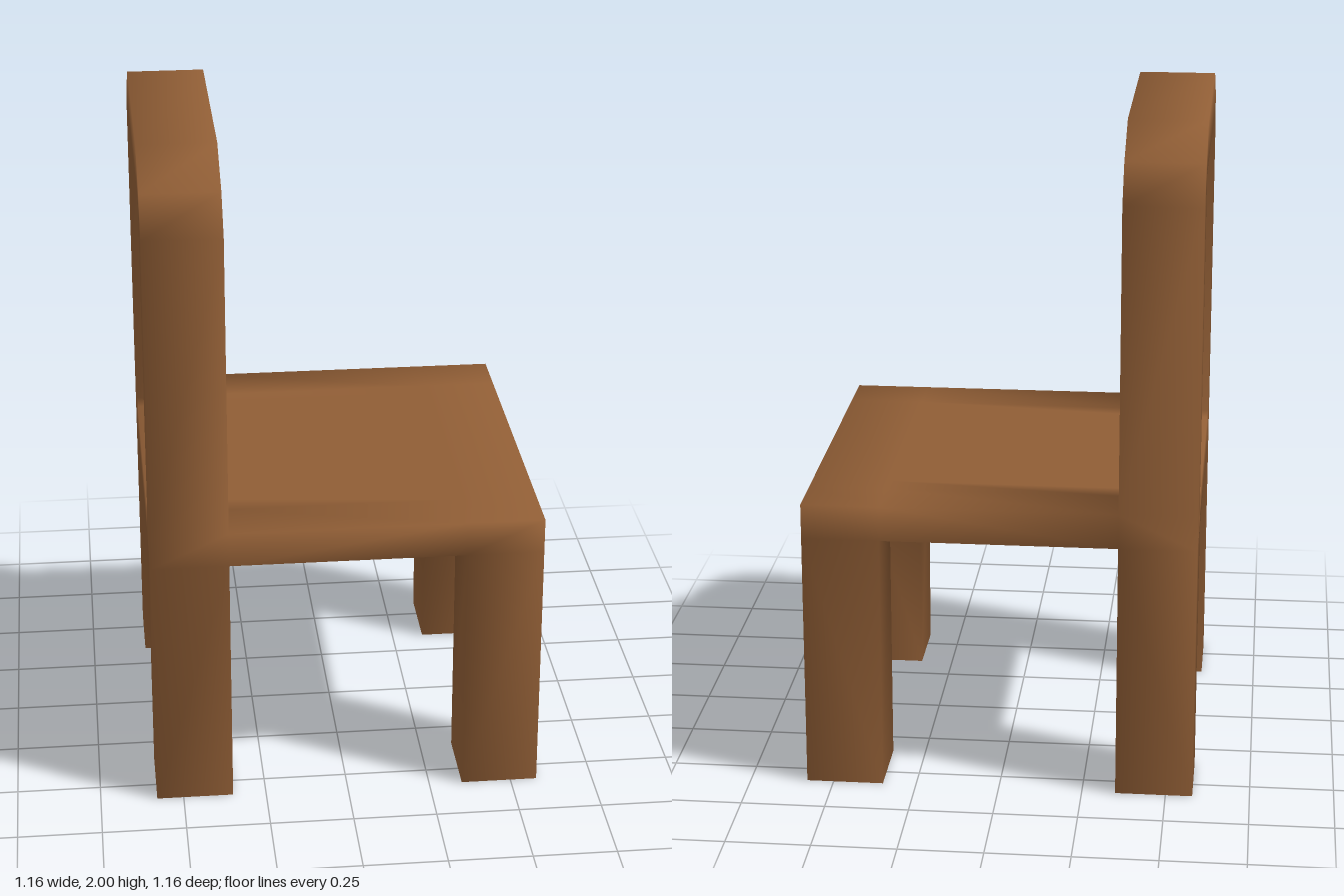
import * as THREE from 'three';

const H = 0.58, IN = 0.35, POST = 0.42;      // half width, leg inner edge, backrest post inner edge
const SEAT_LOW = 0.78, SEAT_TOP = 0.885;

// Six faces of a unit cell as corner bits (x, y, z), counter-clockwise from outside
const FACES = {
  '+x': ['100', '110', '111', '101'], '-x': ['000', '001', '011', '010'],
  '+y': ['010', '011', '111', '110'], '-y': ['000', '100', '101', '001'],
  '+z': ['001', '101', '111', '011'], '-z': ['000', '010', '110', '100'],
};

// Quads of a box, leaving out the faces hidden inside a joint
function boxQuads(xs, ys, zs, skip = []) {
  return Object.keys(FACES).filter((f) => !skip.includes(f))
    .map((f) => FACES[f].map((b) => new THREE.Vector3(xs[b[0]], ys[b[1]], zs[b[2]])));
}

// Seat slab, split where legs and backrest posts join it
function seatQuads() {
  const xs = [-H, -IN, IN, H], zs = [-H, -POST, -IN, IN, POST, H], quads = [];
  for (let i = 0; i < 3; i++) {
    for (let k = 0; k < 5; k++) {
      const skip = [];
      if (i > 0) skip.push('-x');
      if (i < 2) skip.push('+x');
      if (k > 0) skip.push('-z');
      if (k < 4) skip.push('+z');
      if (i !== 1 && k !== 2) skip.push('-y');
      if (i === 0 && k % 4 === 0) skip.push('+y');
      quads.push(...boxQuads([xs[i], xs[i + 1]], [SEAT_LOW, SEAT_TOP], [zs[k], zs[k + 1]], skip));
    }
  }
  return quads;
}

// Arched backrest frame swept between an outer and an inner outline (z, y)
function backQuads() {
  const mirror = (half) => [...half, ...half.map(([z, y]) => [-z, y]).reverse()];
  const outer = mirror([[H, SEAT_TOP], [H, 1.8], [0.505, 1.91], [0.345, 2]]);
  const inner = mirror([[POST, SEAT_TOP], [POST, 1.86], [POST, 1.86], [POST, 1.86]]);
  const front = ([z, y]) => new THREE.Vector3(-IN, y, z);
  const rear = ([z, y]) => new THREE.Vector3(-H, y, z);
  const quads = [];
  for (let i = 0; i < outer.length - 1; i++) {
    const [a, b, c, d] = [outer[i], outer[i + 1], inner[i], inner[i + 1]];
    quads.push([front(c), front(d), front(b), front(a)]);
    quads.push([rear(a), rear(b), rear(d), rear(c)]);
    quads.push([rear(a), front(a), front(b), rear(b)]);
    quads.push([front(c), rear(c), rear(d), front(d)]);
  }
  return quads;
}

export function createModel() {
  const chair = new THREE.Group();
  chair.name = 'chair';
  const wood = new THREE.MeshStandardMaterial({ color: 0x8f5d35 });

  const parts = { seat: seatQuads(), backrestFrame: backQuads() };
  for (const [end, x] of [['front', [IN, H]], ['back', [-H, -IN]]]) {
    for (const [side, z] of [['Left', [-H, -IN]], ['Right', [IN, H]]]) {
      parts[`${end}${side}Leg`] = boxQuads(x, [0, SEAT_LOW], z, ['+y']);
    }
  }

  // Normals are averaged over all wooden parts so the joints shade smoothly
  const normals = new Map();
  const key = (p) => p.toArray().map((v) => v.toFixed(3)).join();
  for (const [a, b, c, d] of Object.values(parts).flat()) {
    const n = c.clone().sub(a).cross(d.clone().sub(b));
    for (const p of [a, b, c, d]) {
      if (!normals.has(key(p))) normals.set(key(p), new THREE.Vector3());
      normals.get(key(p)).add(n);
    }
  }
  for (const n of normals.values()) n.normalize();

  for (const [name, quads] of Object.entries(parts)) {
    const points = [];
    for (const [a, b, c, d] of quads) {
      for (const tri of [[a, b, c], [a, c, d]]) {
        if (new THREE.Triangle(...tri).getArea() > 1e-6) points.push(...tri);
      }
    }
    const geometry = new THREE.BufferGeometry().setFromPoints(points);
    const flat = points.flatMap((p) => normals.get(key(p)).toArray());
    geometry.setAttribute('normal', new THREE.Float32BufferAttribute(flat, 3));
    const mesh = new THREE.Mesh(geometry, wood);
    mesh.name = name;
    chair.add(mesh);
  }

  // Thin grey panel inside the backrest frame
  const panel = new THREE.Mesh(
    new THREE.PlaneGeometry(2 * POST, 0.88),
    new THREE.MeshStandardMaterial({ color: 0xcccccc, side: THREE.DoubleSide }),
  );
  panel.name = 'backrestPanel';
  panel.rotation.y = Math.PI / 2;
  panel.position.set(-0.435, 1.375, 0);
  chair.add(panel);

  return chair;
}
